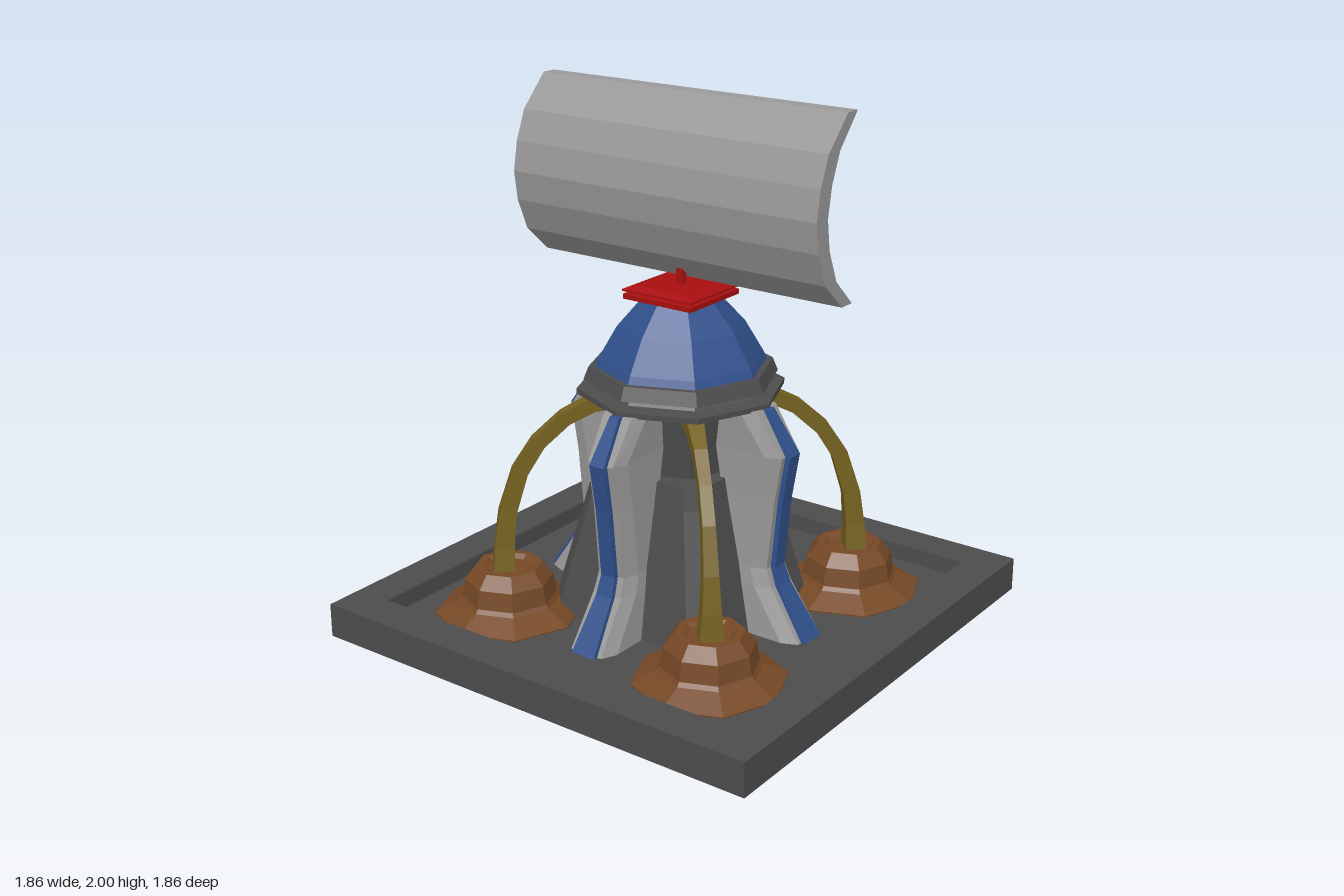
import * as THREE from 'three';

const mat = (name, color, side = THREE.FrontSide) => {
  const m = new THREE.MeshStandardMaterial({ color, flatShading: true, side });
  m.name = name;
  return m;
};

// Closed solid through cross-sections; points run counter-clockwise around the path.
function loft(sections) {
  const n = sections[0].length, last = (sections.length - 1) * n, index = [];
  for (let i = 0; i < sections.length - 1; i++)
    for (let j = 0; j < n; j++) {
      const a = i * n + j, b = i * n + (j + 1) % n;
      index.push(a, b, b + n, a, b + n, a + n);
    }
  for (let j = 1; j < n - 1; j++)
    index.push(0, j + 1, j, last, last + j, last + j + 1);
  const g = new THREE.BufferGeometry();
  g.setAttribute('position', new THREE.Float32BufferAttribute(sections.flat(2), 3));
  g.setIndex(index);
  g.computeVertexNormals();
  return g;
}

// Rectangular bar along a path in the yz plane; rows are [z, y, half width, half thickness].
function bar(rows) {
  return loft(rows.map(([z, y, w, d], i) => {
    const p = rows[Math.max(i - 1, 0)], q = rows[Math.min(i + 1, rows.length - 1)];
    const len = Math.hypot(q[0] - p[0], q[1] - p[1]);
    const tz = (q[0] - p[0]) / len, ty = (q[1] - p[1]) / len;
    return [[1, 1], [-1, 1], [-1, -1], [1, -1]].map(([u, v]) => [u * w, y + v * d * tz, z - v * d * ty]);
  }));
}

// Eight-sided turned part with corners on the axes; points are [radius, y].
const turned = pts => new THREE.LatheGeometry(pts.map(p => new THREE.Vector2(...p)), 8);

export function createModel() {
  const model = new THREE.Group();
  const dark = mat('dark steel', 0x4c4c4c);
  const grey = mat('light grey', 0x999797);
  const blue = mat('blue', 0x30508c);
  const navy = mat('antenna blue', 0x294a70);
  const red = mat('red', 0xa80f10);
  const gold = mat('old brass', 0x74611f);
  const copper = mat('copper', 0x754825);
  const add = (name, geo, material, x = 0, y = 0, z = 0, parent = model) => {
    const m = new THREE.Mesh(geo, material);
    m.name = name;
    m.position.set(x, y, z);
    parent.add(m);
    return m;
  };

  // Square base: raised frame around a thin sunken floor
  const square = (path, s) => {
    path.moveTo(-s, -s); path.lineTo(s, -s); path.lineTo(s, s); path.lineTo(-s, s); path.closePath();
    return path;
  };
  const outline = square(new THREE.Shape(), 0.93);
  outline.holes.push(square(new THREE.Path(), 0.78));
  add('baseFrame', new THREE.ExtrudeGeometry(outline, { depth: 0.13, bevelEnabled: false }).rotateX(-Math.PI / 2), dark);
  add('baseFloor', new THREE.BoxGeometry(1.57, 0.015, 1.57), dark, 0, 0.0575, 0);

  // Chamfered lower body and the column above it
  const body = [[0.065, 0.375, 0.3], [0.56, 0.265, 0.205], [0.64, 0.25, 0.2]];
  add('lowerBody', loft(body.map(([y, a, b]) =>
    [[-b, a], [b, a], [a, b], [a, -b], [b, -a], [-b, -a], [-a, -b], [-a, b]].map(([x, z]) => [x, y, z]))), dark);
  add('column', turned([[0.22, 0.6], [0.24, 0.75], [0.27, 0.92]]), dark);

  // Four fins with a blue edge strip; rows are [y, outer, inner, half width, strip half width]
  const finRows = [
    [0.065, 0.575, 0.30, 0.095, 0.05], [0.25, 0.45, 0.28, 0.085, 0.035],
    [0.32, 0.425, 0.27, 0.078, 0.03], [0.58, 0.45, 0.24, 0.075, 0.03],
    [0.76, 0.48, 0.21, 0.075, 0.032], [0.915, 0.375, 0.18, 0.085, 0.02]];
  const finGeo = loft(finRows.map(([y, o, i, w]) =>
    [[-w * 0.72, o], [w * 0.72, o], [w, o - 0.06], [w, i], [-w, i], [-w, o - 0.06]].map(([x, z]) => [x, y, z])));
  const stripGeo = loft(finRows.map(([y, o, i, w, b]) =>
    [[-b, o + 0.02], [b, o + 0.02], [b, o - 0.02], [-b, o - 0.02]].map(([x, z]) => [x, y, z])));

  // Four curved struts standing on stepped feet; path is [radius, y, half width, half thickness]
  const strutGeo = bar([
    [0.67, 0.23, 0.045, 0.04], [0.665, 0.33, 0.034, 0.036], [0.65, 0.46, 0.027, 0.032],
    [0.60, 0.62, 0.023, 0.03], [0.53, 0.73, 0.022, 0.028], [0.43, 0.82, 0.024, 0.027],
    [0.33, 0.87, 0.03, 0.027], [0.21, 0.89, 0.04, 0.027]]);
  const footGeo = turned([[0, 0.05], [0.28, 0.05], [0.28, 0.07], [0.19, 0.115], [0.178, 0.13],
    [0.165, 0.2], [0.125, 0.25], [0.1, 0.25], [0.08, 0.235], [0, 0.235]]);

  for (let k = 0; k < 4; k++) {
    const turn = k * Math.PI / 2;
    const fin = new THREE.Group();
    fin.name = 'fin';
    fin.rotation.y = turn;
    add('finBody', finGeo, grey, 0, 0, 0, fin);
    add('finStrip', stripGeo, blue, 0, 0, 0, fin);
    // Rails under the floor
    for (const s of [-1, 1])
      add('underRail', new THREE.BoxGeometry(0.015, 0.01, 0.5), grey, s * 0.06, 0.046, 0.25, fin);
    add('underFoot', new THREE.BoxGeometry(0.19, 0.01, 0.02), grey, 0, 0.046, 0.5, fin);
    model.add(fin);

    const leg = new THREE.Group();
    leg.name = 'leg';
    leg.rotation.y = turn + Math.PI / 4;
    add('strut', strutGeo, gold, 0, 0, 0, leg);
    const foot = add('foot', footGeo, copper, 0, 0, 0.651, leg);
    foot.rotation.y = -Math.PI / 4;
    model.add(leg);
  }

  // Collar and faceted dome
  add('collar', turned([[0, 0.91], [0.385, 0.91], [0.385, 0.93], [0.32, 0.935], [0.31, 0.945],
    [0.36, 0.962], [0.34, 1.012], [0, 1.012]]), dark);
  add('dome', turned([[0.318, 1.01], [0.305, 1.04], [0.235, 1.16], [0.14, 1.265], [0, 1.265]]), blue);

  // Red turntable and post
  const plate = [[1.262, 0.15], [1.28, 0.15], [1.281, 0.125], [1.29, 0.125], [1.291, 0.152], [1.298, 0.152], [1.312, 0.12]];
  add('turntable', loft(plate.map(([y, s]) => [[-s, y, s], [s, y, s], [s, y, -s], [-s, y, -s]])), red);
  add('post', new THREE.BoxGeometry(0.028, 0.16, 0.024), red, 0, 1.375, 0);

  // Curved dish panel; rows are [y, front z, back z]
  const dish = [[1.33, -0.03, -0.095], [1.43, 0.08, 0.01], [1.55, 0.13, 0.06], [1.66, 0.145, 0.075],
    [1.77, 0.125, 0.055], [1.88, 0.08, 0.01], [2.0, -0.035, -0.095]];
  add('dish', loft(dish.map(([y, f, b]) =>
    [[-0.656, y, f], [0.656, y, f], [0.656, y, b], [-0.656, y, b]])), grey);

  // Red rib behind the dish and its small antenna
  add('dishRib', bar([[-0.155, 1.4, 0.04, 0.01], [-0.09, 1.42, 0.038, 0.018], [-0.02, 1.465, 0.035, 0.022],
    [0.03, 1.54, 0.035, 0.022], [0.052, 1.63, 0.035, 0.02], [0.038, 1.72, 0.035, 0.022],
    [0.0, 1.805, 0.035, 0.024], [-0.05, 1.86, 0.038, 0.02], [-0.11, 1.893, 0.04, 0.01]]), red);
  add('antennaBase', new THREE.BoxGeometry(0.04, 0.042, 0.1), navy, 0, 1.615, 0.025);
  add('antennaRod', new THREE.BoxGeometry(0.024, 0.024, 0.12), navy, 0, 1.615, -0.067);

  return model;
}
